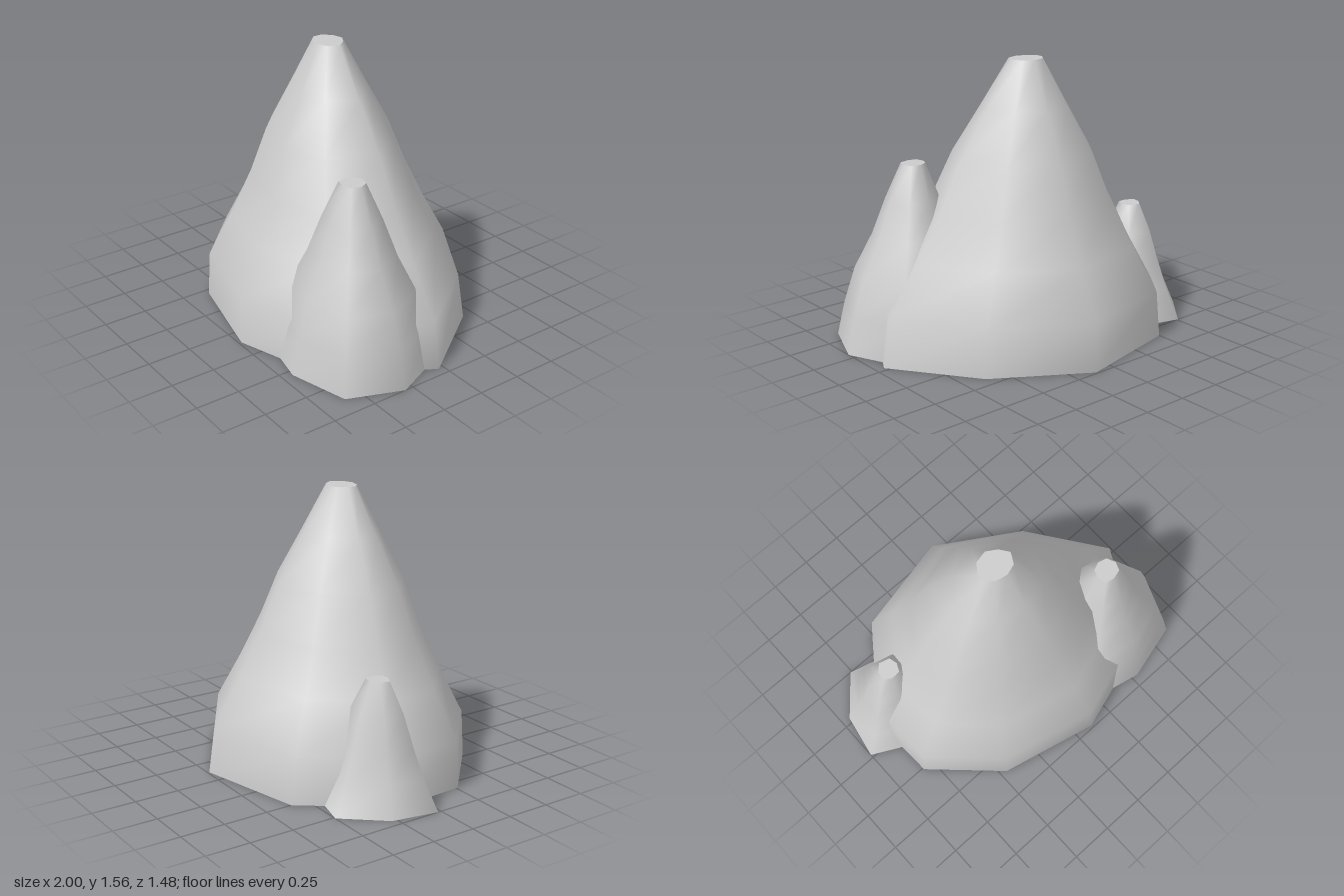
import * as THREE from 'three';

// Faceted rock spire: a base outline [x, z] (counter-clockwise from above)
// shrunk by each scale toward an axis leaning from foot to tip.
function spire(name, height, foot, tip, outline, scales, material) {
  const n = outline.length;
  const rows = scales.length;
  const positions = [];
  const index = [];

  const ring = (row) => {
    const t = row / (rows - 1);
    for (const [x, z] of outline) {
      positions.push(
        THREE.MathUtils.lerp(foot[0], tip[0], t) + (x - foot[0]) * scales[row],
        height * t,
        THREE.MathUtils.lerp(foot[1], tip[1], t) + (z - foot[1]) * scales[row]
      );
    }
  };

  // Smooth flank
  for (let r = 0; r < rows; r++) ring(r);
  for (let r = 0; r < rows - 1; r++) {
    for (let j = 0; j < n; j++) {
      const a = r * n + j;
      const b = r * n + ((j + 1) % n);
      index.push(a, b, b + n, a, b + n, a + n);
    }
  }

  // Flat summit and underside, with their own corners for sharp rims
  const top = rows * n;
  const bottom = top + n;
  ring(rows - 1);
  ring(0);
  for (let j = 1; j < n - 1; j++) {
    index.push(top, top + j, top + j + 1);
    index.push(bottom, bottom + j + 1, bottom + j);
  }

  const geometry = new THREE.BufferGeometry();
  geometry.setAttribute('position', new THREE.Float32BufferAttribute(positions, 3));
  geometry.setIndex(index);
  geometry.computeVertexNormals();
  const mesh = new THREE.Mesh(geometry, material);
  mesh.name = name;
  return mesh;
}

export function createModel() {
  const group = new THREE.Group();
  group.name = 'rockFormation';
  const stone = new THREE.MeshStandardMaterial({ color: 0xcccccc });

  // Tall central peak
  group.add(spire('mainPeak', 1.56, [0.05, 0], [-0.04, 0.03], [
    [0.95, 0.03], [0.62, -0.43], [0.12, -0.74], [-0.5, -0.6], [-0.84, -0.15],
    [-0.82, 0.26], [-0.46, 0.6], [0.11, 0.735], [0.66, 0.56],
  ], [1, 0.965, 0.78, 0.615, 0.48, 0.295, 0.115], stone));

  // Medium peak at the front left
  group.add(spire('leftPeak', 1.01, [0.54, 0.3], [0.535, 0.3], [
    [1, 0.3], [0.86, -0.02], [0.54, -0.1], [0.25, 0.03],
    [0.14, 0.31], [0.22, 0.62], [0.54, 0.69], [0.88, 0.6],
  ], [1, 0.9, 0.76, 0.53, 0.36, 0.16], stone));

  // Small peak at the back right
  group.add(spire('rightPeak', 0.66, [-0.68, -0.18], [-0.67, -0.17], [
    [-0.36, -0.15], [-0.42, -0.41], [-0.76, -0.5], [-0.95, -0.28],
    [-1, -0.02], [-0.75, 0.11], [-0.48, 0.1],
  ], [1, 0.76, 0.58, 0.42, 0.19], stone));

  return group;
}
